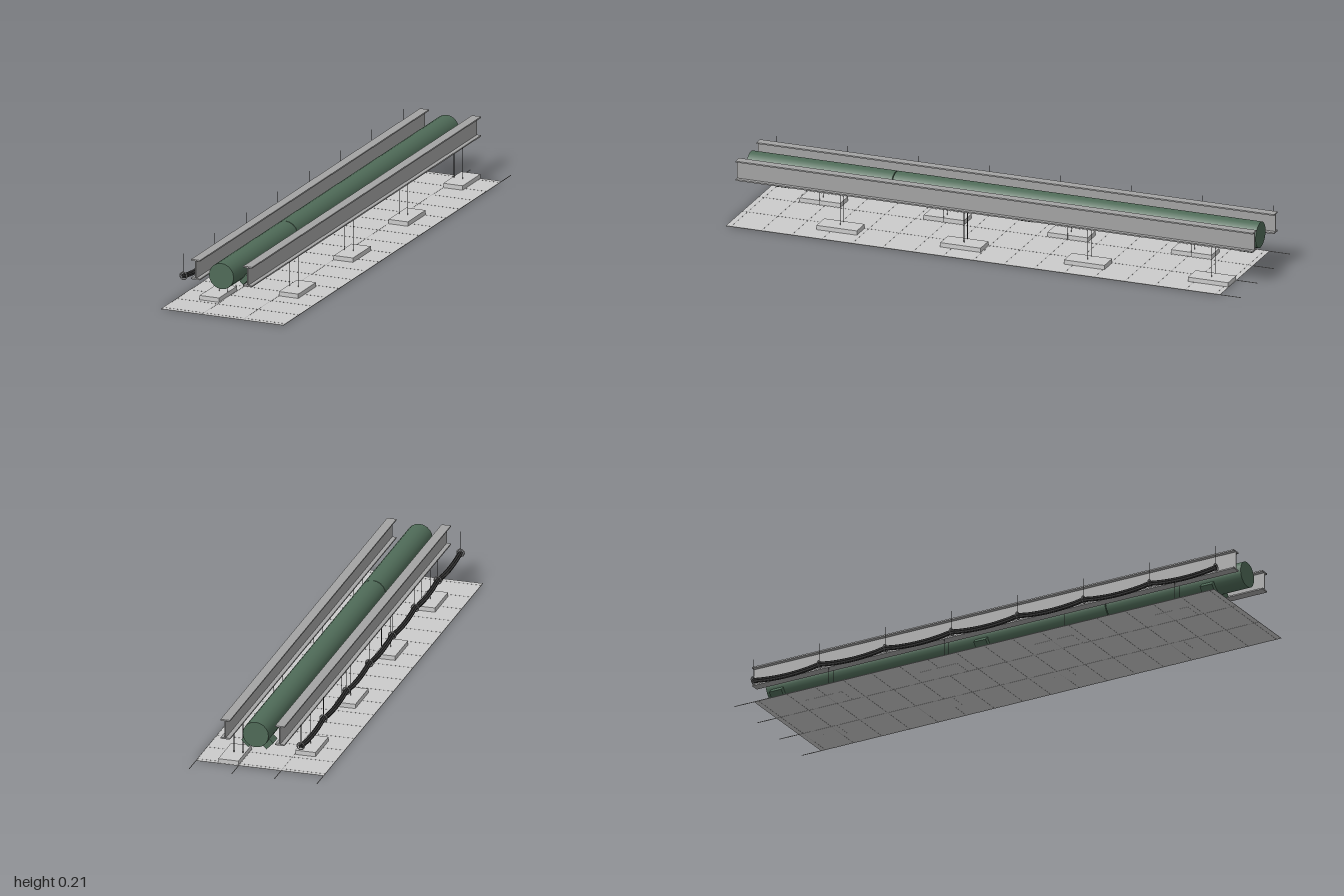
import * as THREE from 'three';

const paint = (color) => new THREE.MeshStandardMaterial({ color });
const grey = paint(0xcccccc);
const steel = paint(0xa4a4a4);
const green = paint(0x4f6b58);
const dark = paint(0x3a3a3a);

function add(parent, name, geometry, material, x = 0, y = 0, z = 0) {
  const mesh = new THREE.Mesh(geometry, material);
  mesh.name = name;
  mesh.position.set(x, y, z);
  parent.add(mesh);
  return mesh;
}

function group(parent, name) {
  const g = new THREE.Group();
  g.name = name;
  parent.add(g);
  return g;
}

// Floor sheet with reinforcing bars that run out past its back edge
function buildFloor(parent) {
  const floor = group(parent, 'floor');
  add(floor, 'floorSheet', new THREE.BoxGeometry(0.48, 0.0012, 1.91), grey, 0, 0.001, 0.035);
  for (const x of [-0.24, -0.08, 0.08, 0.24]) {
    add(floor, 'longBar', new THREE.BoxGeometry(0.002, 0.002, 1.99), steel, x, 0.001, -0.005);
  }
  for (let i = 0; i < 17; i++) {
    add(floor, 'crossBar', new THREE.BoxGeometry(0.48, 0.002, 0.002), steel, 0, 0.001, 0.97 - i * 0.117);
  }
}

// I-section beam running the full length
function buildBeam(parent, x) {
  const w = 0.0175, t = 0.002, bottom = 0.132, top = 0.207, f = 0.005;
  const half = [[w, bottom], [w, bottom + f], [t, bottom + f], [t, top - f], [w, top - f], [w, top]];
  const outline = [...half, ...half.map(([a, b]) => [-a, b]).reverse()];
  const shape = new THREE.Shape(outline.map(([a, b]) => new THREE.Vector2(a, b)));
  const geometry = new THREE.ExtrudeGeometry(shape, { depth: 2, bevelEnabled: false });
  add(parent, 'beam', geometry, steel, x, 0, -1);
}

// Pads, each carrying a pair of thin posts up to the beam
function buildSupports(parent, beamX, padX, firstZ) {
  for (let i = 0; i < 4; i++) {
    const support = group(parent, 'support');
    const z = firstZ - i * 0.4785;
    add(support, 'pad', new THREE.BoxGeometry(0.076, 0.018, 0.156), grey, padX, 0.009, z);
    for (const side of [-1, 1]) {
      add(support, 'post', new THREE.CylinderGeometry(0.001, 0.001, 0.134, 6), dark,
        beamX + side * 0.017, 0.067, z);
    }
  }
}

// Pipe in two lengths, cradled by pairs of slanted blocks
function buildPipe(parent) {
  const pipe = group(parent, 'pipe');
  pipe.position.set(-0.003, 0.1545, 0);
  for (const [back, front] of [[-0.98, 0.427], [0.43, 0.99]]) {
    const geometry = new THREE.CylinderGeometry(0.0485, 0.0485, front - back, 20);
    geometry.rotateX(Math.PI / 2);
    add(pipe, 'pipeLength', geometry, green, 0, 0, (back + front) / 2);
  }
  for (const z of [0.852, -0.087, -0.935]) {
    for (const side of [-1, 1]) {
      const block = add(pipe, 'cradleBlock', new THREE.BoxGeometry(0.037, 0.036, 0.05), green,
        side * 0.0345, -0.0345, z);
      block.rotation.z = side * Math.PI / 4;
    }
  }
}

// Cable bundle sagging between rings on thin hanger rods
function buildCables(parent) {
  const cables = group(parent, 'cableRun');
  cables.position.set(-0.168, 0.125, 0);
  const count = 8, step = 0.2743, start = -0.965;
  for (let i = 0; i < count; i++) {
    const z = start + i * step;
    add(cables, 'ring', new THREE.TorusGeometry(0.0135, 0.0025, 8, 20), steel, 0, 0, z);
    add(cables, 'hangerRod', new THREE.CylinderGeometry(0.001, 0.001, 0.069, 6), dark, 0, 0.0485, z);
  }
  const per = 8, total = (count - 1) * per;
  for (let c = 0; c < 5; c++) {
    const angle = Math.PI / 2 + c * Math.PI * 2 / 5;
    const points = [];
    for (let i = 0; i <= total; i++) {
      const u = (i % per) / per;
      const sag = 0.0115 * 4 * u * (1 - u);
      points.push(new THREE.Vector3(Math.cos(angle) * 0.0062,
        Math.sin(angle) * 0.0062 - sag, start + i * step / per));
    }
    const path = new THREE.CatmullRomCurve3(points);
    add(cables, 'cable', new THREE.TubeGeometry(path, 112, 0.0036, 8), dark);
    // Closed cable ends
    for (const end of [0, 1]) {
      const cap = add(cables, 'cableEnd', new THREE.CircleGeometry(0.0036, 8), dark);
      cap.position.copy(points[end * total]);
      cap.rotation.y = end ? 0 : Math.PI;
    }
  }
}

export function createModel() {
  const model = new THREE.Group();
  model.name = 'pipeCorridor';
  buildFloor(model);
  buildBeam(model, -0.1);
  buildBeam(model, 0.105);
  buildSupports(model, -0.1, -0.121, 0.755);
  buildSupports(model, 0.105, 0.119, 0.595);
  buildPipe(model);
  buildCables(model);
  return model;
}
